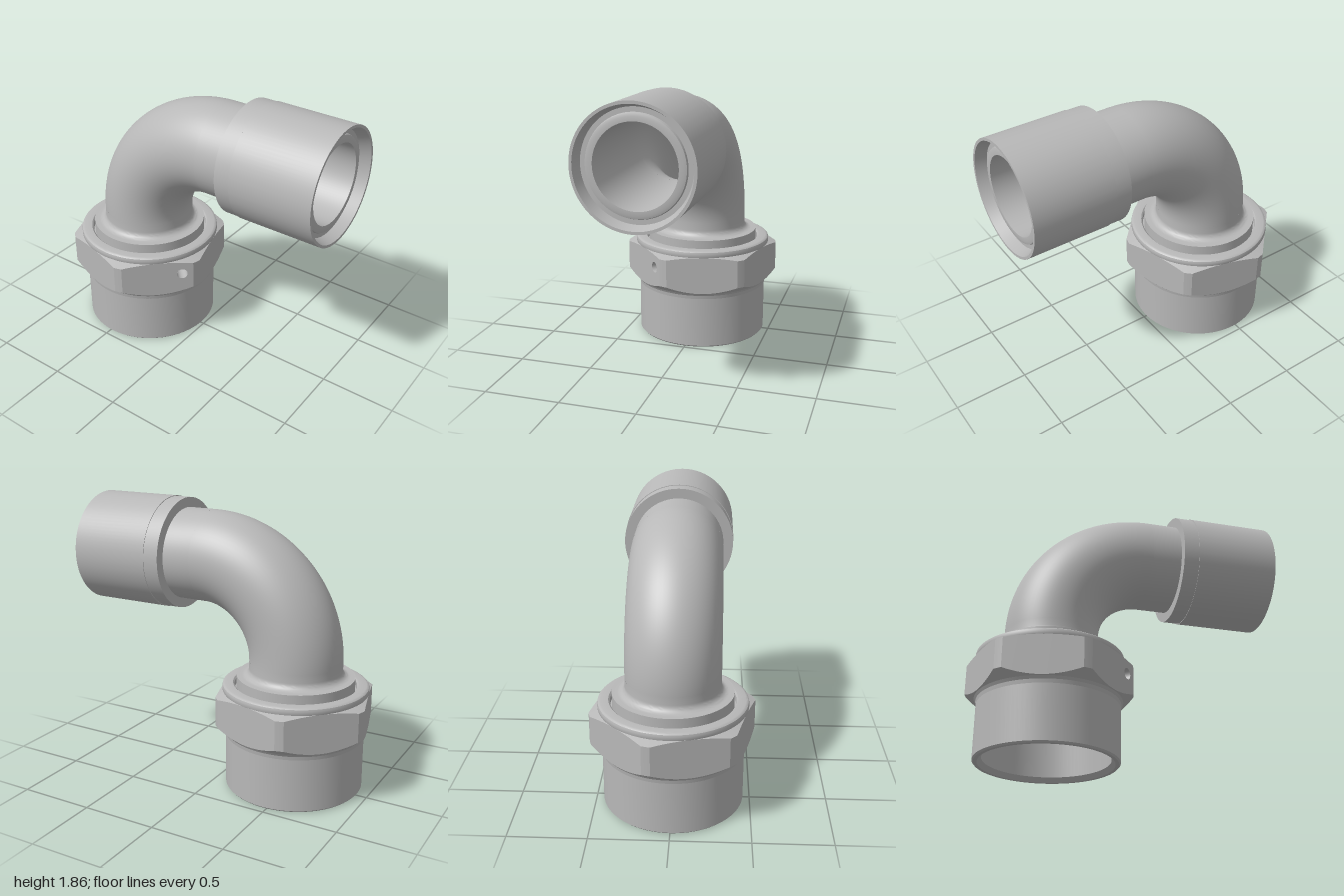
import * as THREE from 'three';
import { toCreasedNormals } from 'three/addons/utils/BufferGeometryUtils.js';

const AXIS_X = -0.475;   // axis of the lower fitting
const PIPE_Y = 1.485;    // axis of the outlet
const OUTER = 0.305, BORE = 0.255, BEND = 0.625;
const DEG = Math.PI / 180;

const metal = new THREE.MeshStandardMaterial({ color: 0xb8b8b8, side: THREE.DoubleSide });
metal.name = 'greyMetal';

function add(parent, name, geometry) {
  const mesh = new THREE.Mesh(geometry, metal);
  mesh.name = name;
  parent.add(mesh);
  return mesh;
}

const lathe = (points, segments = 96) =>
  new THREE.LatheGeometry(points.map(([r, y]) => new THREE.Vector2(r, y)), segments);
const turned = (points) => toCreasedNormals(lathe(points), 0.5);

// Hexagon with its corners turned down to a cylinder
const FLAT = 0.478, CORNER = FLAT / Math.cos(27 * DEG);
const rise = (r) => (r - FLAT) / (CORNER - FLAT);
const nutBottom = (r) => 0.405 + 0.045 * rise(r);
const nutTop = (r) => 0.665 - 0.02 * rise(r);

// Turned face whose outer ring follows the hexagon outline
function nutEnd(points, height) {
  const geo = lathe(points, 120);
  const p = geo.attributes.position;
  for (let i = 0; i < p.count; i++) {
    const x = p.getX(i), z = p.getZ(i);
    if (Math.hypot(x, z) < 0.5) continue;
    const a = Math.atan2(x, z) / DEG + 360;
    const off = ((a - 45 + 30) % 60) - 30;
    const r = Math.min(CORNER, FLAT / Math.cos(off * DEG));
    p.setXYZ(i, r * Math.sin(a * DEG), height(r), r * Math.cos(a * DEG));
  }
  return toCreasedNormals(geo, 0.35);
}

function makeNut() {
  const nut = new THREE.Group();
  nut.name = 'hexNut';
  add(nut, 'nutTopChamfer', nutEnd([[CORNER, 0.65], [0.46, 0.672]], nutTop));
  add(nut, 'nutBottomChamfer',
    nutEnd([[0.457, 0.36], [0.461, 0.385], [0.472, 0.402], [CORNER, 0.44]], nutBottom));
  const holeU = 0.168, holeY = 0.565, holeR = 0.037;
  for (let k = 0; k < 6; k++) {
    const side = new THREE.Group();
    side.name = 'nutSide';
    side.rotation.y = (45 + 60 * k) * DEG;
    nut.add(side);

    // Flat with arched upper and lower edges
    const outline = [];
    for (let s = -9; s <= 9; s++) {
      const u = FLAT * Math.tan(3 * s * DEG);
      outline.push(new THREE.Vector2(u, nutBottom(Math.hypot(FLAT, u))));
    }
    for (let s = 9; s >= -9; s--) {
      const u = FLAT * Math.tan(3 * s * DEG);
      outline.push(new THREE.Vector2(u, nutTop(Math.hypot(FLAT, u))));
    }
    const shape = new THREE.Shape(outline);
    if (k === 0) {
      shape.holes.push(new THREE.Path().absarc(holeU, holeY, holeR, 0, Math.PI * 2, true));
      // Drilled hole
      const wall = new THREE.CylinderGeometry(holeR, holeR, 0.12, 24, 1, true);
      wall.rotateX(Math.PI / 2);
      add(side, 'holeWall', wall).position.set(holeU, holeY, FLAT - 0.06);
      add(side, 'holeEnd', new THREE.CircleGeometry(holeR, 24)).position.set(holeU, holeY, FLAT - 0.12);
    }
    add(side, 'nutFlat', new THREE.ShapeGeometry(shape, 24)).position.z = FLAT;

    // Rounded corner strip
    const y0 = nutBottom(CORNER), y1 = nutTop(CORNER);
    add(side, 'nutCorner',
      new THREE.CylinderGeometry(CORNER, CORNER, y1 - y0, 2, 1, true, 27 * DEG, 6 * DEG))
      .position.y = (y0 + y1) / 2;
  }
  return nut;
}

export function createModel() {
  const model = new THREE.Group();
  model.name = 'elbowFitting';

  // Lower fitting
  const base = new THREE.Group();
  base.name = 'lowerFitting';
  base.position.x = AXIS_X;
  model.add(base);
  add(base, 'threadedBody', turned([
    [BORE, 0.38], [0.4, 0.38], [0.4, 0.03], [0.425, 0], [0.447, 0], [0.457, 0.01], [0.457, 0.37],
  ]));
  base.add(makeNut());
  add(base, 'collar', turned([
    [0.46, 0.64], [0.474, 0.655], [0.48, 0.668], [0.48, 0.69], [0.477, 0.701], [0.47, 0.707],
    [0.46, 0.71], [0.41, 0.71], [0.4, 0.7], [0.4, 0.66], [0.385, 0.66],
  ]));

  // Flange with a fillet into the pipe
  const flange = [[0.387, 0.66], [0.387, 0.76], [0.352, 0.76]];
  for (let i = 1; i <= 8; i++) {
    const a = i / 8 * Math.PI / 2;
    flange.push([0.352 - 0.047 * Math.sin(a), 0.807 - 0.047 * Math.cos(a)]);
  }
  flange.push([OUTER, 0.86]);
  add(base, 'pipeFlange', turned(flange));
  add(base, 'lowerBore', turned([[BORE, 0.38], [BORE, 0.86]]));

  // Quarter bend, outside and inside
  for (const [name, r] of [['elbow', OUTER], ['elbowBore', BORE]]) {
    const bend = new THREE.TorusGeometry(BEND, r, 64, 48, Math.PI / 2);
    bend.rotateZ(Math.PI / 2);
    add(model, name, bend).position.set(AXIS_X + BEND, PIPE_Y - BEND, 0);
  }

  // Outlet, turned about the x axis
  const outlet = new THREE.Group();
  outlet.name = 'outlet';
  outlet.position.y = PIPE_Y;
  outlet.rotation.z = -Math.PI / 2;
  model.add(outlet);
  add(outlet, 'outletPipe', turned([[OUTER, 0.15], [OUTER, 0.36]]));
  add(outlet, 'socketSleeve', turned([
    [OUTER, 0.345], [0.371, 0.345], [0.371, 0.45], [0.375, 0.45], [0.375, 1],
    [0.357, 1], [0.335, 0.93], [0.305, 0.93],
  ]));
  add(outlet, 'pipeEnd', turned([
    [0.305, 0.93], [0.3, 0.945], [0.283, 0.95], [BORE, 0.95], [BORE, 0.15],
  ]));
  return model;
}
